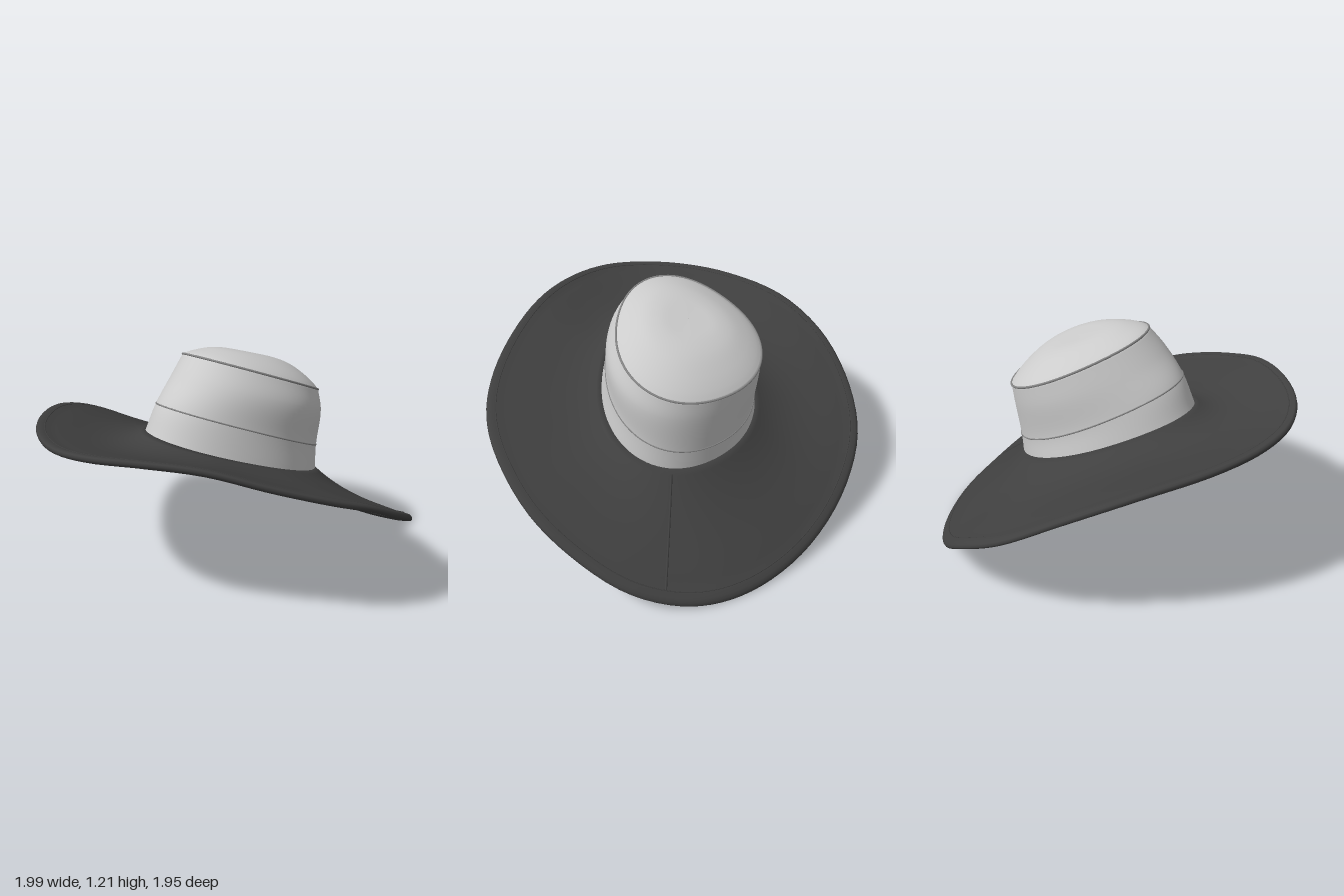
import * as THREE from 'three';

// Brim edge, clockwise from the back as seen from above: x, y, z
const EDGE = [
  [0.17, 0.035, -0.97], [0.42, 0.12, -0.915], [0.655, 0.255, -0.77], [0.84, 0.4, -0.58],
  [0.96, 0.55, -0.32], [0.99, 0.65, -0.13], [0.955, 0.73, 0.08], [0.84, 0.82, 0.335],
  [0.67, 0.9, 0.57], [0.48, 0.92, 0.765], [0.255, 0.905, 0.915], [0.03, 0.88, 0.967],
  [-0.22, 0.86, 0.93], [-0.475, 0.835, 0.81], [-0.745, 0.78, 0.58], [-0.92, 0.66, 0.3],
  [-0.99, 0.49, 0], [-0.95, 0.35, -0.27], [-0.8, 0.19, -0.51], [-0.56, 0.07, -0.73],
  [-0.29, 0.015, -0.885], [-0.05, 0.008, -0.96],
];
const edge = new THREE.CatmullRomCurve3(EDGE.map(p => new THREE.Vector3(...p)), true);

// Crown rings: centre x, y, z, radius x, radius z, slope along z, slope along x
const RINGS = {
  base: [0.003, 0.645, -0.03, 0.4, 0.47, 0.37, 0.03],
  band: [0, 0.775, -0.07, 0.38, 0.44, 0.43, 0.1],
  mid: [-0.005, 0.935, -0.13, 0.38, 0.4, 0.37, 0.1],
  rim: [-0.025, 1.035, -0.175, 0.355, 0.355, 0.42, 0.11],
};

// Egg-shaped ring: pulled in at the front right, fuller at the back left
function ringPoint([cx, cy, cz, rx, rz, slopeZ, slopeX], a, scale = 1, lift = 0) {
  const t = a + Math.PI / 4;
  const k = scale * (1 + 0.09 * Math.cos(t) * Math.cos(2 * t));
  const x = rx * Math.cos(a) * k, z = rz * Math.sin(a) * k;
  return new THREE.Vector3(cx + x, cy + slopeX * x + slopeZ * z + lift, cz + z);
}

// Surface closed around u; rows[i] is the list of points of one cross-section
function loft(rows, closedProfile) {
  const n = rows.length, m = rows[0].length, index = [];
  const id = (i, j) => (i % n) * m + (j % m);
  for (let i = 0; i < n; i++) {
    for (let j = 0; j < (closedProfile ? m : m - 1); j++) {
      const a = id(i, j), b = id(i + 1, j), c = id(i + 1, j + 1), d = id(i, j + 1);
      index.push(a, d, c, a, c, b);
    }
  }
  const g = new THREE.BufferGeometry().setFromPoints(rows.flat());
  g.setIndex(index);
  g.computeVertexNormals();
  return g;
}

// Point on the brim: u around, s from crown (0) to edge (1), lift off the mid surface
function brimPoint(u, s, lift) {
  const out = edge.getPoint(u % 1);
  const a = Math.atan2(out.z / 0.47, out.x / 0.4);
  const p = ringPoint(RINGS.base, a).lerp(out, s);
  // bell-shaped flare, steep next to the crown and deepest at the front right
  const sag = 0.17 + 0.15 * Math.max(0, Math.cos(a - 2.2));
  p.y += lift - sag * s * Math.pow(1 - s, 2);
  return p;
}

function crownRow(a) {
  // the dome is lower towards the front right
  const lean = -0.28 * Math.cos(a - 2);
  const top = (k, h) => ringPoint(RINGS.rim, a, k, h * (1 + lean * k));
  const wall = Object.values(RINGS).map(r => ringPoint(r, a));
  const side = new THREE.CatmullRomCurve3(wall).getPoints(24);
  const dome = new THREE.CatmullRomCurve3(
    [top(1, 0), top(0.93, 0.022), top(0.8, 0.052), top(0.6, 0.085), top(0.4, 0.1), top(0.2, 0.102), top(0.002, 0.102)]
  ).getPoints(24);
  return side.concat(dome.slice(1));
}

export function createModel() {
  const hat = new THREE.Group();
  hat.name = 'wideBrimHat';
  const felt = new THREE.MeshStandardMaterial({ color: 0xcccccc, side: THREE.DoubleSide });
  const dark = new THREE.MeshStandardMaterial({ color: 0x404040, side: THREE.DoubleSide });
  const trim = new THREE.MeshStandardMaterial({ color: 0x888888 });
  const add = (name, geometry, material) => {
    const mesh = new THREE.Mesh(geometry, material);
    mesh.name = name;
    hat.add(mesh);
  };
  const tube = (name, pts, r, closed, material) => add(name,
    new THREE.TubeGeometry(new THREE.CatmullRomCurve3(pts, closed), 120, r, 6, closed), material);
  const N = 96;
  const around = fn => Array.from({ length: N }, (_, i) => fn(i / N));

  // Hollow crown with a gently domed top
  add('crown', loft(around(u => crownRow(u * Math.PI * 2)), false), felt);

  // Brim with a rounded outer hem
  const half = s => 0.01 + 0.008 * THREE.MathUtils.smoothstep(s, 0.88, 0.96);
  const steps = Array.from({ length: 21 }, (_, j) => j / 20 * 0.985);
  add('brim', loft(around(u => [
    ...steps.map(s => brimPoint(u, s, -half(s))),
    brimPoint(u, 1.005, -0.012), brimPoint(u, 1.012, 0), brimPoint(u, 1.005, 0.012),
    ...steps.slice().reverse().map(s => brimPoint(u, s, half(s))),
  ]), true), dark);

  // Piping around the crown top and the band
  const ringPts = r => around(u => ringPoint(r, u * Math.PI * 2));
  tube('crownPiping', ringPts(RINGS.rim), 0.006, true, trim);
  tube('bandPiping', ringPts(RINGS.band), 0.004, true, trim);

  // Hem stitching and the back seam, on both faces of the brim
  for (const [face, sign] of [['Top', 1], ['Under', -1]]) {
    tube('hemStitch' + face, around(u => brimPoint(u, 0.93, sign * 0.0145)), 0.003, true, dark);
    const seam = Array.from({ length: 12 }, (_, j) => brimPoint(0.3 / EDGE.length, 0.04 + j * 0.08, sign * 0.01));
    tube('brimSeam' + face, seam, 0.006, false, dark);
  }
  return hat;
}
